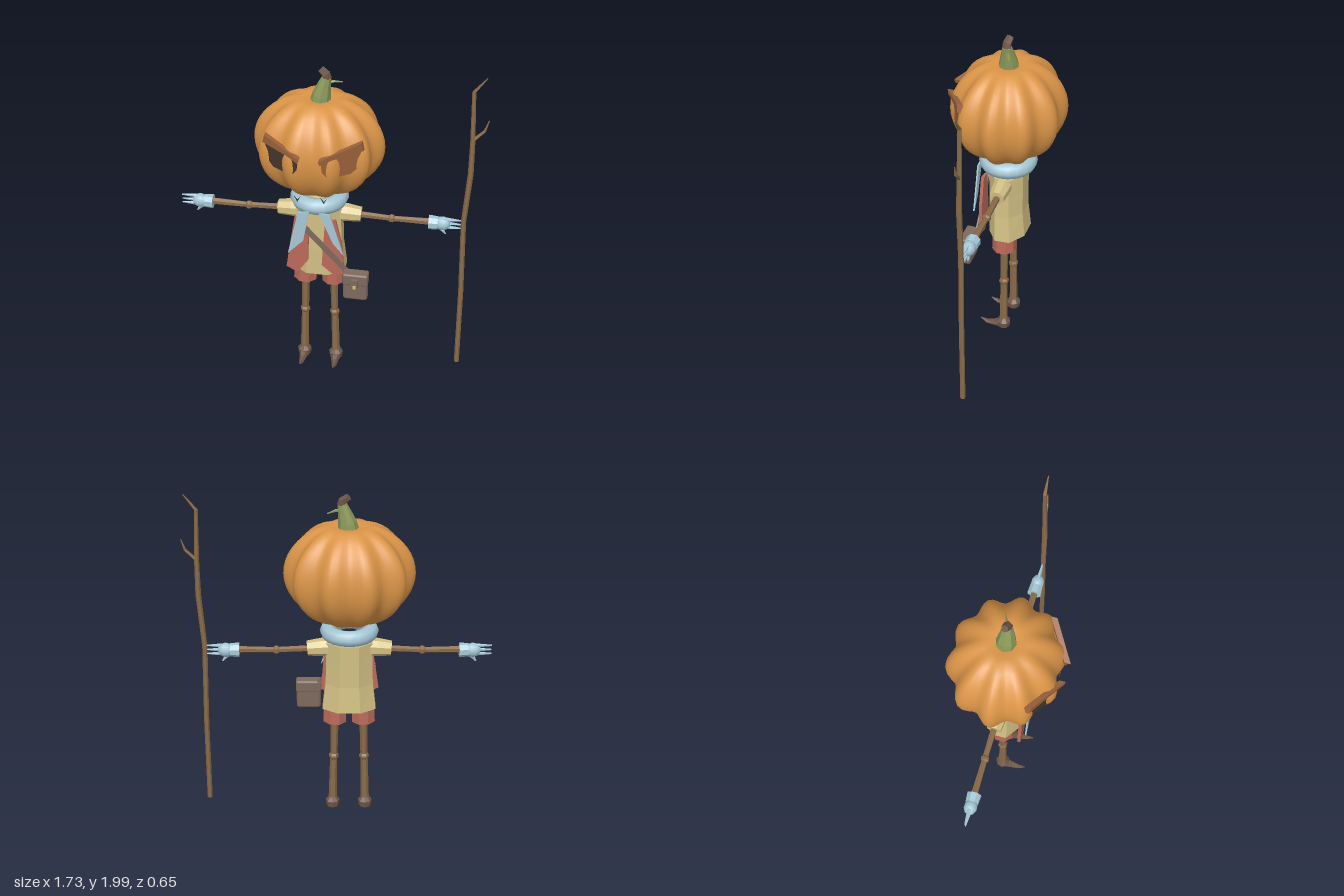
import * as THREE from 'three';
import { mergeVertices } from 'three/addons/utils/BufferGeometryUtils.js';
import { RoundedBoxGeometry } from 'three/addons/geometries/RoundedBoxGeometry.js';

const CX = -0.063, CZ = -0.012; // body axis

function material(name, color) {
  const m = new THREE.MeshStandardMaterial({ color });
  m.name = name;
  return m;
}

// Faceted tube through rings [x, y, z, rx, rz = rx]
function limb(rings, sides = 6, phase = 0) {
  const P = rings.map(r => new THREE.Vector3(r[0], r[1], r[2]));
  const up = new THREE.Vector3(0, 1, 0), pos = [], idx = [];
  P.forEach((p, i) => {
    const t = P[Math.min(i + 1, P.length - 1)].clone().sub(P[Math.max(i - 1, 0)]).normalize();
    const q = new THREE.Quaternion().setFromUnitVectors(up, t);
    const [, , , rx, rz = rx] = rings[i];
    for (let j = 0; j < sides; j++) {
      const a = (j / sides) * Math.PI * 2 + phase;
      const v = new THREE.Vector3(Math.cos(a) * rx, 0, Math.sin(a) * rz).applyQuaternion(q).add(p);
      pos.push(v.x, v.y, v.z);
    }
  });
  const last = (P.length - 1) * sides;
  for (let j = 0; j < sides; j++) {
    const k = (j + 1) % sides;
    for (let i = 0; i < last; i += sides) {
      idx.push(i + j, i + sides + j, i + k, i + k, i + sides + j, i + sides + k);
    }
    if (j > 0 && k > 0) idx.push(0, j, k, last, last + k, last + j);
  }
  const g = new THREE.BufferGeometry();
  g.setAttribute('position', new THREE.Float32BufferAttribute(pos, 3));
  g.setIndex(idx);
  const flat = g.toNonIndexed();
  flat.computeVertexNormals();
  return flat;
}

// Flat outline in x, y with its front at z
function plate(pts, z, depth) {
  const s = new THREE.Shape(pts.map(p => new THREE.Vector2(p[0], p[1])));
  return new THREE.ExtrudeGeometry(s, { depth, bevelEnabled: false }).translate(0, 0, z - depth);
}

// Ten-lobed pumpkin with dimpled poles
function pumpkin() {
  let g = new THREE.SphereGeometry(1, 80, 24);
  g.deleteAttribute('uv');
  g.deleteAttribute('normal');
  const p = g.attributes.position;
  for (let i = 0; i < p.count; i++) {
    const x = p.getX(i), y = p.getY(i), z = p.getZ(i);
    const rho = Math.hypot(x, z), a = Math.atan2(z, x);
    const k = 1 - 0.065 * Math.min(1, rho * 1.5) * (1 - Math.cos(10 * a));
    const dip = 0.04 * Math.exp(-((rho / 0.25) ** 2)) * Math.sign(y);
    p.setXYZ(i, x * k * 0.367, y * 0.303 - dip, z * k * 0.322);
  }
  g = mergeVertices(g);
  g.computeVertexNormals();
  return g.translate(CX, 1.53, CZ);
}

export function createModel() {
  const root = new THREE.Group();
  const orange = material('pumpkin orange', 0xdb9548);
  const green = material('stem green', 0x8a9858);
  const blue = material('cloth blue', 0xa6c8d6);
  const tan = material('shirt tan', 0xd2c084);
  const red = material('vest red', 0xba6a5a);
  const wood = material('wood brown', 0x8a6b48);
  const bark = material('dark bark', 0x6e5648);
  const leather = material('leather', 0x7e6a5d);
  const dark = material('eye dark', 0x46372b);
  const rind = material('rind brown', 0x9b633c);
  const add = (name, geometry, mat, parent = root) => {
    const m = new THREE.Mesh(geometry, mat);
    m.name = name;
    parent.add(m);
    return m;
  };

  // Head and stem
  add('pumpkinHead', pumpkin(), orange);
  add('stem', limb([[-0.057, 1.78, CZ, 0.06], [-0.05, 1.83, CZ, 0.052], [-0.035, 1.89, CZ, 0.037], [-0.022, 1.935, CZ, 0.026]], 8), green);
  add('stemTip', limb([[-0.02, 1.93, CZ, 0.026], [-0.025, 1.955, CZ, 0.025], [-0.056, 1.98, -0.02, 0.021]], 6), bark);
  add('stemTwig', limb([[-0.03, 1.90, CZ, 0.011], [0.015, 1.905, -0.03, 0.008], [0.06, 1.895, -0.05, 0.003]], 5), green);

  // Eyes and brows, on plates angled around the head
  const eye = [[0.063, 1.59], [0.26, 1.625], [0.27, 1.54], [0.213, 1.485], [0.1, 1.485], [0.07, 1.53]];
  const brow = [[0.052, 1.61], [0.265, 1.668], [0.278, 1.62], [0.12, 1.602], [0.06, 1.583]];
  const facePlate = (pts, side, lift, depth) => {
    const list = pts.map(([x, y]) => [side * x, y]);
    const g = plate(list, 0, depth), p = g.attributes.position;
    for (let i = 0; i < p.count; i++) {
      p.setZ(i, p.getZ(i) + 0.35 + lift - 0.62 * Math.abs(p.getX(i)));
    }
    g.computeVertexNormals();
    return g.translate(CX, 0, 0);
  };
  for (const [side, label, mat] of [[1, 'left', rind], [-1, 'right', dark]]) {
    add(label + 'Eye', facePlate(eye, side, 0, 0.03), mat);
    add(label + 'Brow', facePlate(brow, side, 0.012, 0.035), rind);
    // Small notch marks below the eyes
    const x = CX + side * 0.073;
    add(label + 'FaceMark', plate([[x, 1.308], [x + 0.019, 1.347], [x, 1.322], [x - 0.019, 1.347]], 0.272, 0.004), dark);
  }

  // Scarf
  add('scarfCollar', new THREE.TorusGeometry(0.12, 0.047, 8, 20).rotateX(Math.PI / 2).translate(CX, 1.18, CZ + 0.004), blue);
  add('scarfTailRight', plate([[-0.16, 1.15], [-0.095, 1.165], [-0.13, 0.965], [-0.22, 0.87]], 0.15, 0.009), blue);
  add('scarfTailLeft', plate([[-0.04, 1.16], [0.022, 1.155], [0.1, 0.89], [0.04, 0.965]], 0.15, 0.009), blue);

  // Shirt and vest
  add('shirt', limb([[CX, 0.7, -0.02, 0.165, 0.116], [CX, 0.86, CZ, 0.146, 0.109], [CX, 1.0, CZ, 0.142, 0.109], [CX, 1.12, CZ, 0.14, 0.11]], 8, Math.PI / 8), tan);
  add('vestRight', plate([[-0.185, 1.1], [-0.14, 1.08], [-0.105, 1.0], [-0.11, 0.81], [-0.17, 0.72], [-0.235, 0.755], [-0.215, 0.9]], 0.118, 0.018), red);
  add('vestLeft', plate([[-0.01, 1.09], [0.05, 1.1], [0.085, 0.94], [0.1, 0.745], [0.04, 0.725], [-0.03, 0.785]], 0.118, 0.018), red);

  // Bag and strap
  add('bagStrap', plate([[-0.135, 1.025], [-0.11, 1.045], [0.125, 0.78], [0.1, 0.76]], 0.128, 0.009), leather);
  add('bag', new RoundedBoxGeometry(0.142, 0.175, 0.062, 2, 0.018).translate(0.173, 0.693, 0.151), leather);
  add('bagFlap', new RoundedBoxGeometry(0.148, 0.075, 0.07, 2, 0.012).translate(0.173, 0.747, 0.152), leather);
  add('bagLatch', new THREE.BoxGeometry(0.04, 0.05, 0.02).translate(0.173, 0.735, 0.195), leather);
  add('bagClasp', new THREE.BoxGeometry(0.018, 0.02, 0.006).translate(0.173, 0.715, 0.208), tan);

  // Limbs, built around x = 0 for each side
  for (const [s, label] of [[1, 'left'], [-1, 'right']]) {
    const X = d => CX + s * d;
    const part = (name, rings, mat, sides, phase) =>
      add(label + name, limb(rings.map(([d, ...rest]) => [X(d), ...rest]), sides, phase), mat);

    part('ShortsLeg', [[0.084, 0.605, CZ, 0.071], [0.08, 0.7, CZ, 0.069], [0.07, 0.78, CZ, 0.06]], red, 8, Math.PI / 8);
    part('Leg', [[0.096, 0.05, CZ, 0.025], [0.09, 0.345, CZ, 0.021], [0.089, 0.355, CZ, 0.029], [0.089, 0.37, CZ, 0.029],
      [0.088, 0.382, CZ, 0.021], [0.083, 0.65, CZ, 0.024]], wood);
    part('Ankle', [[0.096, 0.006, CZ, 0.018], [0.096, 0.025, CZ, 0.038], [0.096, 0.06, CZ, 0.042], [0.096, 0.085, CZ, 0.022]], bark, 8);
    part('Toe', [[0.096, 0.038, 0, 0.032], [0.098, 0.028, 0.05, 0.02], [0.1, 0.026, 0.09, 0.014], [0.1, 0.045, 0.132, 0.003]], bark);

    part('Sleeve', [[0.12, 1.078, -0.015, 0.054], [0.16, 1.076, -0.016, 0.052], [0.238, 1.07, -0.018, 0.043]], tan, 8, Math.PI / 8);
    part('Arm', [[0.15, 1.073, -0.018, 0.02], [0.395, 1.062, -0.02, 0.017], [0.405, 1.061, -0.02, 0.025], [0.42, 1.061, -0.02, 0.025],
      [0.43, 1.061, -0.02, 0.017], [0.66, 1.064, -0.02, 0.021]], wood);
    part('Cuff', [[0.623, 1.06, -0.02, 0.042], [0.675, 1.06, -0.02, 0.038]], blue, 8, Math.PI / 8);
    add(label + 'Palm', new THREE.SphereGeometry(1, 10, 8).scale(0.047, 0.041, 0.038).translate(X(0.7), 1.06, -0.02), blue);
    for (const [i, y] of [1.088, 1.062, 1.037].entries()) {
      part('Finger' + (i + 1), [[0.72, y, -0.02, 0.012], [0.765, y, -0.02, 0.008], [0.807, y, -0.02, 0.004]], blue, 5);
    }
    part('Thumb', [[0.68, 1.035, -0.02, 0.014], [0.705, 1.012, -0.02, 0.01], [0.72, 0.99, -0.02, 0.004]], blue, 5);
  }

  // Walking staff with a side twig
  add('staff', limb([[0.764, 0.08, -0.015, 0.015], [0.764, 0.6, -0.016, 0.015], [0.755, 1.08, -0.018, 0.015], [0.778, 1.4, -0.022, 0.016],
    [0.778, 1.6, -0.026, 0.014], [0.769, 1.91, -0.03, 0.011], [0.836, 1.998, -0.03, 0.003]], 6), wood);
  add('staffTwig', limb([[0.779, 1.615, -0.026, 0.011], [0.838, 1.675, -0.03, 0.008], [0.859, 1.74, -0.034, 0.003]], 5), wood);
  return root;
}
